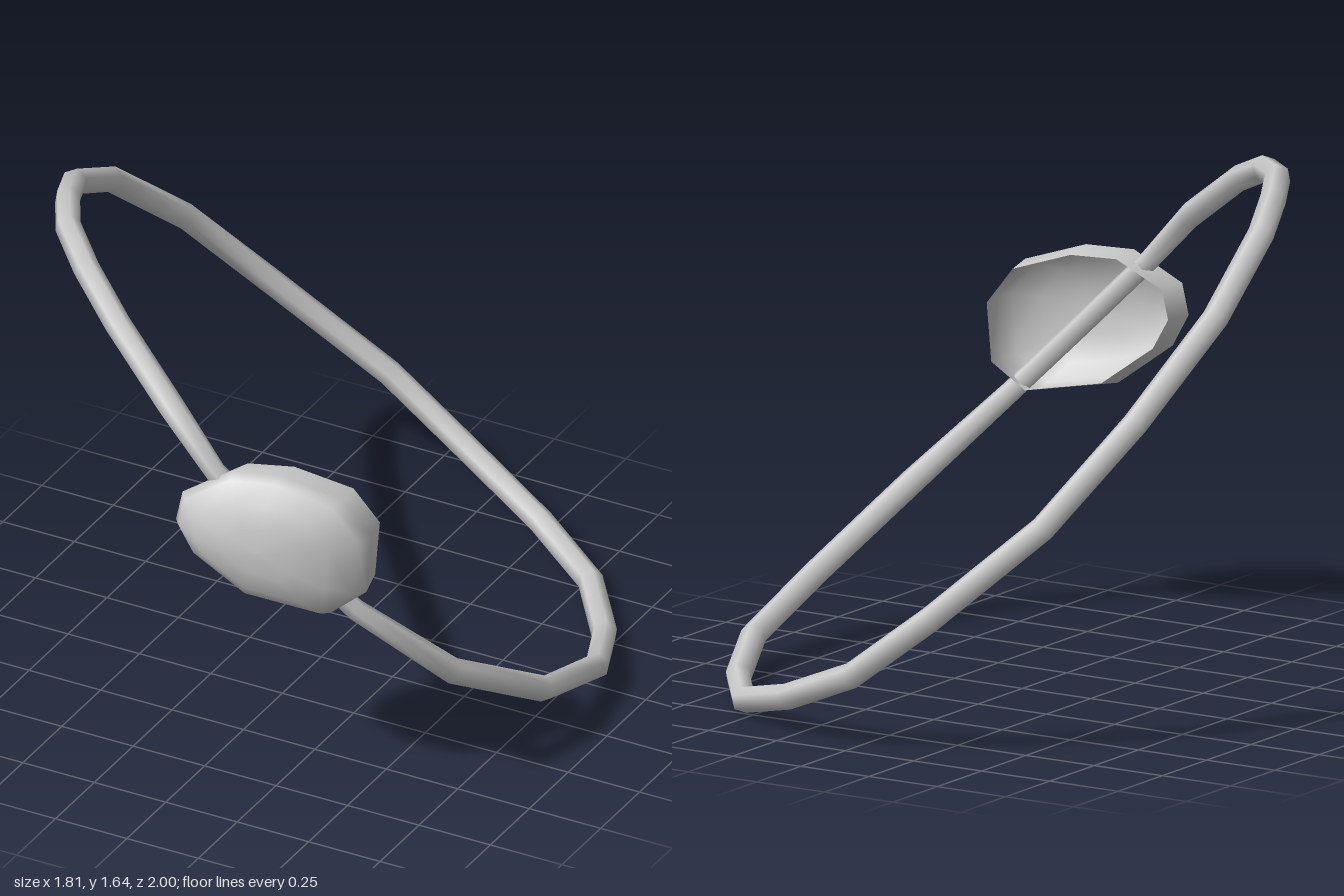
import * as THREE from 'three';

const material = new THREE.MeshStandardMaterial({ color: 0xcccccc, side: THREE.DoubleSide });

// Skins a list of equally sized closed loops of points; optionally joins last to first
function skin(loops, joinEnds) {
  const n = loops[0].length, rows = loops.length, index = [];
  for (let i = 0; i < (joinEnds ? rows : rows - 1); i++) {
    for (let j = 0; j < n; j++) {
      const k = (j + 1) % n, r = (i + 1) % rows;
      const a = i * n + j, b = i * n + k, c = r * n + k, d = r * n + j;
      index.push(a, b, c, a, c, d);
    }
  }
  const geometry = new THREE.BufferGeometry().setFromPoints(loops.flat());
  geometry.setIndex(index);
  geometry.computeVertexNormals();
  return geometry;
}

// Closed strap: a six-sided section swept round the tilted loop
function makeStrap() {
  const path = [
    [0.12, 1.17, 0.9], [-0.05, 1.34, 0.87], [-0.3, 1.51, 0.76], [-0.48, 1.59, 0.63],
    [-0.63, 1.612, 0.47], [-0.73, 1.59, 0.29], [-0.81, 1.53, 0.1], [-0.87, 1.34, -0.25],
    [-0.79, 1.06, -0.58], [-0.6, 0.75, -0.81], [-0.28, 0.45, -0.955], [0, 0.24, -0.965],
    [0.29, 0.12, -0.88], [0.54, 0.05, -0.74], [0.73, 0.05, -0.48], [0.85, 0.11, -0.21],
    [0.87, 0.23, 0.17], [0.76, 0.46, 0.55], [0.54, 0.73, 0.77], [0.33, 0.95, 0.84],
  ].map((p) => new THREE.Vector3(...p));
  const axis = new THREE.Vector3(0.5, 0.75, -0.4).normalize();
  const count = path.length;
  const loops = path.map((p, i) => {
    const tangent = path[(i + 1) % count].clone().sub(path[(i + count - 1) % count]).normalize();
    const side = axis.clone().cross(tangent).normalize();
    const up = tangent.clone().cross(side);
    // slimmer where it crosses behind the patch
    const radius = i === 0 || i >= count - 2 ? 0.034 : 0.041;
    return Array.from({ length: 6 }, (_, j) => {
      const a = (j / 6) * Math.PI * 2;
      return p.clone()
        .addScaledVector(side, radius * Math.cos(a))
        .addScaledVector(up, radius * Math.sin(a));
    });
  });
  return new THREE.Mesh(skin(loops, true), material);
}

// Patch: a shallow bowl, open at the back, whose loops lean back toward +x
function makePatch() {
  const outline = [
    [0.01, 1.0], [0.06, 0.9], [0.23, 0.77], [0.48, 0.73], [0.59, 0.82], [0.605, 1.02],
    [0.52, 1.14], [0.33, 1.2], [0.18, 1.195], [0.03, 1.1],
  ];
  const cx = 0.31, cy = 0.97;
  // [scale about the centre, depth at x = 0, slope of depth along x]
  const rings = [
    [0.93, 0.878, -0.31], [1, 0.955, -0.27], [0.93, 0.985, -0.25],
    [0.7, 1.025, -0.23], [0.35, 1.045, -0.22], [0.001, 1.048, -0.22],
  ];
  const loops = rings.map(([s, depth, slope]) => outline.map(([px, py]) => {
    const x = cx + (px - cx) * s, y = cy + (py - cy) * s;
    return new THREE.Vector3(x, y, depth + slope * x);
  }));
  return new THREE.Mesh(skin(loops, false), material);
}

export function createModel() {
  const model = new THREE.Group();
  model.name = 'eyePatch';
  const strap = makeStrap();
  strap.name = 'strap';
  const patch = makePatch();
  patch.name = 'patch';
  model.add(strap, patch);
  return model;
}
